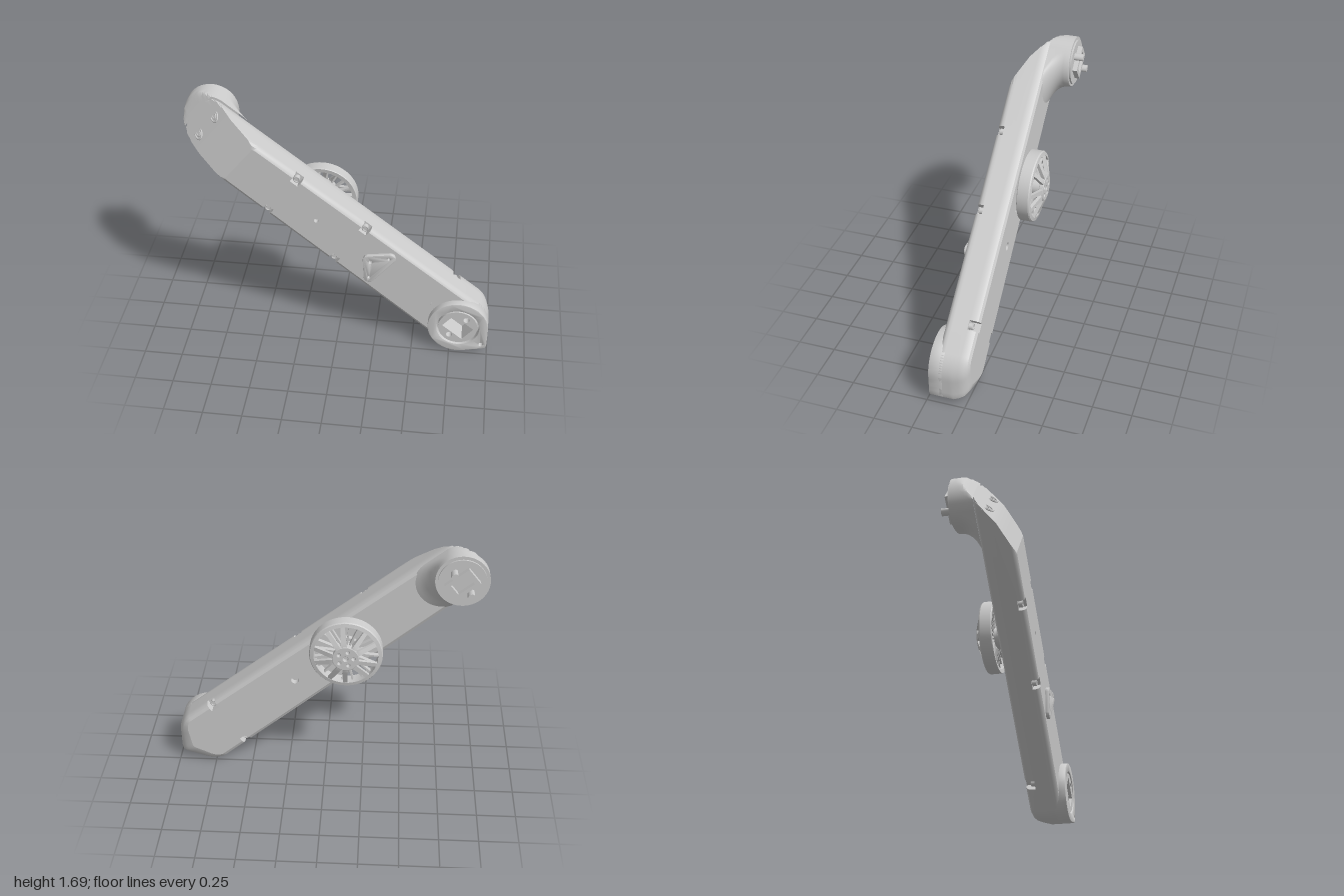
import * as THREE from 'three';
import { toCreasedNormals } from 'three/addons/utils/BufferGeometryUtils.js';

const grey = new THREE.MeshStandardMaterial({ color: 0xcccccc });
const greyThin = new THREE.MeshStandardMaterial({ color: 0xcccccc, side: THREE.DoubleSide });

// The arm lies along local x: neck end at x = 0, socket end at x = LEN
const LEN = 2.097, R0 = 0.168, R1 = 0.198, BACK = -0.02, FRONT = 0.19;
const halfWidth = x => R0 + (R1 - R0) * x / LEN;

function add(parent, name, geometry, x = 0, y = 0, z = 0, material = grey) {
  const mesh = new THREE.Mesh(geometry, material);
  mesh.name = name;
  mesh.position.set(x, y, z);
  parent.add(mesh);
  return mesh;
}
const cylinder = (r, depth, sides = 32, open = false) =>
  new THREE.CylinderGeometry(r, r, depth, sides, 1, open).rotateX(Math.PI / 2);
const extrude = (shape, depth, bevel = 0) => new THREE.ExtrudeGeometry(shape, {
  depth, curveSegments: 32, bevelEnabled: bevel > 0, bevelSize: bevel, bevelThickness: bevel, bevelOffset: -bevel, bevelSegments: 2 });
const circlePath = (x, y, r) => new THREE.Path().absarc(x, y, r, 0, Math.PI * 2, true);
const rectPoints = (x, y, w, h) => [[-1, -1], [1, -1], [1, 1], [-1, 1]].map(([a, b]) => new THREE.Vector2(x + a * w / 2, y + b * h / 2));

// Piecewise linear lookup in rows of [key, value]
function lookup(rows, key) {
  if (key <= rows[0][0]) return rows[0][1];
  for (let i = 1; i < rows.length; i++) {
    const [k0, v0] = rows[i - 1], [k1, v1] = rows[i];
    if (key <= k1) return v0 + (v1 - v0) * (key - k0) / (k1 - k0);
  }
  return rows[rows.length - 1][1];
}
// Slanted front of the neck: the lowest x allowed at each depth
const slant = z => lookup([[-0.1, -0.18], [-0.02, -0.09], [0.1, 0.08], [FRONT, 0.283]], z);
// Teardrop radius of the socket end
const tearRadius = a => Math.min(0.245, R1 / Math.cos(Math.max(0, 0.667 - Math.abs(a))));

// Screw notches cut into the long edges: position and depth range
const notches = [
  { x: 0.62, from: 0.145, to: 1 }, { x: 1.165, from: 0.145, to: 1 }, { x: 1.9, from: -1, to: 0.045 },
];
function bodyOutline(z, inset, endScale) {
  const pts = [], xs = [0.3];
  notches.forEach(n => xs.push(n.x - 0.031, n.x - 0.029, n.x + 0.029, n.x + 0.031));
  const side = (x, sign) => {
    const cut = notches.some(n => Math.abs(x - n.x) < 0.03 && z > n.from && z < n.to);
    pts.push(new THREE.Vector3(x, sign * (halfWidth(x) - (cut ? 0.055 : inset)), z));
  };
  xs.forEach(x => side(x, -1));
  for (let i = 0; i <= 36; i++) {
    const a = -Math.PI / 2 + Math.PI * i / 36, r = tearRadius(a) - inset;
    pts.push(new THREE.Vector3(LEN + r * Math.cos(a) * endScale, r * Math.sin(a), z));
  }
  [...xs].reverse().forEach(x => side(x, 1));
  for (let i = 0; i <= 32; i++) {
    const a = Math.PI / 2 + Math.PI * i / 32, r = R0 - inset;
    pts.push(new THREE.Vector3(Math.max(r * Math.cos(a), slant(z)), r * Math.sin(a), z));
  }
  return pts;
}
function neckOutline(z, reach) {
  const pts = [];
  for (let i = 0; i < 64; i++) {
    const a = -Math.PI / 2 + Math.PI * 2 * i / 64;
    const x = R0 * Math.cos(a) + (i <= 32 ? reach - R0 : 0);
    pts.push(new THREE.Vector3(Math.max(x, slant(z)), R0 * Math.sin(a), z));
  }
  return pts;
}
// Skin through closed rings that rise in z
function loft(rings) {
  const n = rings[0].length, index = [];
  for (let i = 0; i < rings.length - 1; i++) for (let j = 0; j < n; j++) {
    const k = (j + 1) % n, a = i * n + j, b = i * n + k;
    index.push(a, b, b + n, a, b + n, a + n);
  }
  const g = new THREE.BufferGeometry().setFromPoints(rings.flat());
  g.setIndex(index);
  return toCreasedNormals(g, 0.6);
}
function cap(ring, holes = []) {
  const shape = new THREE.Shape(ring.map(p => new THREE.Vector2(p.x, p.y)));
  shape.holes.push(...holes);
  return new THREE.ShapeGeometry(shape, 20);
}
function roundHole(parent, x, y, r, z, depth) {
  add(parent, 'holeWall', cylinder(r, Math.abs(depth), 20, true), x, y, z + depth / 2, greyThin);
  add(parent, 'holeFloor', new THREE.CircleGeometry(r, 20), x, y, z + depth, greyThin);
}

function addBody(arm) {
  const rings = [[BACK, 0.03, 0.6], [-0.008, 0.01, 0.76], [0.01, 0.002, 0.86], [0.044, 0, 0.95], [0.046, 0, 0.952], [0.075, 0, 1],
    [0.1, 0, 1], [0.144, 0, 1], [0.146, 0, 1], [0.165, 0, 1], [0.181, 0.009, 1], [FRONT, 0.025, 1]].map(l => bodyOutline(...l));
  add(arm, 'armShell', loft(rings));
  const pocket = new THREE.Path(rectPoints(LEN, 0, 0.17, 0.115));
  add(arm, 'armFrontFace', cap(rings[rings.length - 1],
    [circlePath(0.895, 0, 0.015), pocket, circlePath(LEN, 0.085, 0.02), circlePath(LEN, -0.085, 0.02)]), 0, 0, FRONT, greyThin);
  add(arm, 'armBackFace', cap(rings[0], [circlePath(1.08, 0, 0.012), circlePath(1.325, 0, 0.027)]), 0, 0, BACK, greyThin);
  roundHole(arm, 0.895, 0, 0.015, FRONT, -0.03);
  roundHole(arm, 1.08, 0, 0.012, BACK, 0.03);
  roundHole(arm, 1.325, 0, 0.027, BACK, 0.04);
  // Screws standing in the notches
  notches.forEach(n => [1, -1].forEach(s => {
    const front = n.to === 1, y = s * (halfWidth(n.x) - 0.029);
    add(arm, 'edgeScrew', cylinder(0.021, 0.03, 20), n.x, y, front ? 0.152 : 0.038);
    add(arm, 'edgeScrewRim', new THREE.TorusGeometry(0.017, 0.005, 6, 20), n.x, y, front ? 0.168 : 0.022);
  }));
  // Small arrow mark beside the socket
  add(arm, 'arrowMark', cylinder(0.018, 0.004, 3), 1.865, 0, FRONT);
}

function addNeck(arm) {
  const rings = [[-0.163, 0.163], [-0.155, 0.168], [-0.125, 0.17], [-0.1, 0.18], [-0.075, 0.2], [-0.05, 0.235], [-0.03, 0.28], [-0.015, 0.32]]
    .map(l => neckOutline(...l));
  add(arm, 'neck', loft(rings));
  add(arm, 'neckBackFace', cap(rings[0]), 0, 0, -0.163, greyThin);
  add(arm, 'plugPlate', cylinder(0.148, 0.02, 48), 0, 0, -0.164);
  const frame = new THREE.Shape(rectPoints(0, 0, 0.18, 0.12));
  frame.holes.push(new THREE.Path(rectPoints(0, 0, 0.12, 0.075)));
  add(arm, 'plugFrame', extrude(frame, 0.035), 0, 0, -0.205);
  [1, -1].forEach(s => {
    const pin = add(arm, 'plugPin', new THREE.CapsuleGeometry(0.016, 0.03, 4, 16).rotateZ(Math.PI / 2), 0, s * 0.085, -0.2);
    pin.geometry = cylinder(0.017, 0.07, 20).scale(1.4, 1, 1);
    // Recessed screws on the sloping face
    const seat = new THREE.Group();
    seat.name = 'neckScrew';
    seat.position.set(0, s * 0.085, 0.044);
    seat.rotation.y = -0.955;
    arm.add(seat);
    add(seat, 'screwRim', new THREE.TorusGeometry(0.029, 0.005, 8, 28).scale(1.5, 1, 1));
    add(seat, 'screwHead', new THREE.TorusGeometry(0.014, 0.004, 8, 20).scale(1.5, 1, 1));
  });
}

function addSocket(arm) {
  // Raised teardrop boss with a ring step and a rectangular pocket
  const pts = [];
  for (let i = 0; i < 80; i++) {
    const a = -Math.PI + Math.PI * 2 * i / 80, r = tearRadius(a);
    pts.push(new THREE.Vector2(r * Math.cos(a), r * Math.sin(a)));
  }
  const boss = new THREE.Shape(pts);
  boss.holes.push(circlePath(0, 0, 0.14), circlePath(0.205, 0, 0.014));
  add(arm, 'socketBoss', toCreasedNormals(extrude(boss, 0.085, 0.004), 0.6), LEN, 0, 0.146);
  const floor = new THREE.Shape().absarc(0, 0, 0.128, 0, Math.PI * 2);
  floor.holes.push(new THREE.Path(rectPoints(0, 0, 0.17, 0.115)), circlePath(0, 0.085, 0.02), circlePath(0, -0.085, 0.02));
  add(arm, 'socketFace', extrude(floor, 0.04), LEN, 0, FRONT);
  const walls = new THREE.Shape(rectPoints(0, 0, 0.18, 0.125));
  walls.holes.push(new THREE.Path(rectPoints(0, 0, 0.17, 0.115)));
  add(arm, 'pocketWalls', extrude(walls, 0.1), LEN, 0, 0.09);
  add(arm, 'pocketFloor', new THREE.PlaneGeometry(0.17, 0.115), LEN, 0, 0.1);
  [1, -1].forEach(s => roundHole(arm, LEN, s * 0.085, 0.02, FRONT, -0.08));
}

function addCover(arm) {
  // Rounded triangular cover plate
  const t = 2.406, r = 0.035, P = Math.PI * 2;
  const tri = new THREE.Shape();
  tri.absarc(1.42, 0.105, r, 0, t).absarc(1.325, 0, r, t, P - t).absarc(1.42, -0.105, r, P - t, P);
  [[1.345, 0], [1.415, 0.1], [1.415, -0.1]].forEach(([x, y], i) => tri.holes.push(circlePath(x, y, i ? 0.007 : 0.012)));
  add(arm, 'triangleCover', toCreasedNormals(extrude(tri, 0.02, 0.005), 0.6), 0, 0, 0.188);
}

function addWheel(arm) {
  const wheel = new THREE.Group();
  wheel.name = 'wheel';
  wheel.position.set(0.895, 0, 0);
  wheel.rotation.y = Math.PI;
  arm.add(wheel);
  // Rim as a turned ring, z pointing out of the arm's back
  const section = [[0.205, 0.05], [0.23, 0.047], [0.233, 0.052], [0.233, 0.122], [0.228, 0.13], [0.205, 0.135], [0.205, 0.05]];
  const rim = new THREE.LatheGeometry(section.map(p => new THREE.Vector2(...p)), 64).rotateX(Math.PI / 2);
  rim.scale(1, 1, -1).rotateY(Math.PI);
  rim.computeBoundingBox();
  if (rim.boundingBox.max.z < 0) rim.scale(1, 1, -1);
  add(wheel, 'rim', toCreasedNormals(rim, 0.5), 0, 0, 0, greyThin);
  add(wheel, 'axle', cylinder(0.08, 0.035, 40), 0, 0, 0.035);
  add(wheel, 'hubDrum', cylinder(0.06, 0.11, 32), 0, 0, 0.1);
  const face = new THREE.Shape().absarc(0, 0, 0.085, 0, Math.PI * 2);
  face.holes.push(circlePath(0, 0, 0.016));
  for (let i = 0; i < 5; i++) {
    const a = i * Math.PI * 0.4 + 0.63;
    face.holes.push(circlePath(0.05 * Math.cos(a), 0.05 * Math.sin(a), 0.011));
  }
  add(wheel, 'hubFace', extrude(face, 0.022, 0.004), 0, 0, 0.153);
  // Five forked spokes sloping back to the rim
  for (let i = 0; i < 5; i++) [1, -1].forEach(s => {
    const g = new THREE.BoxGeometry(0.165, 0.034, 0.022, 6, 1, 1).translate(0.1375, 0, 0.166);
    const p = g.attributes.position;
    for (let k = 0; k < p.count; k++) {
      const x = p.getX(k), out = Math.max(0, x - 0.08);
      p.setXYZ(k, x, p.getY(k) * (1 - out * 1.5) + s * (0.019 + out * 0.28), p.getZ(k) - out * 0.37);
    }
    g.computeVertexNormals();
    add(wheel, 'spoke', g).rotation.z = i * Math.PI * 0.4;
  });
  // Thin inner vanes behind the spokes
  for (let i = 0; i < 20; i++) {
    const g = new THREE.BoxGeometry(0.155, 0.011, 0.03).translate(0.132, 0, 0.085);
    add(wheel, 'innerVane', g).rotation.z = (i + 0.5) * Math.PI / 10;
  }
}

export function createModel() {
  const model = new THREE.Group();
  model.name = 'linkArm';
  const arm = new THREE.Group();
  arm.name = 'arm';
  arm.position.set(-0.83, 1.52, 0);
  arm.rotation.z = -0.681;
  model.add(arm);
  [addBody, addNeck, addSocket, addCover, addWheel].forEach(build => build(arm));
  return model;
}
